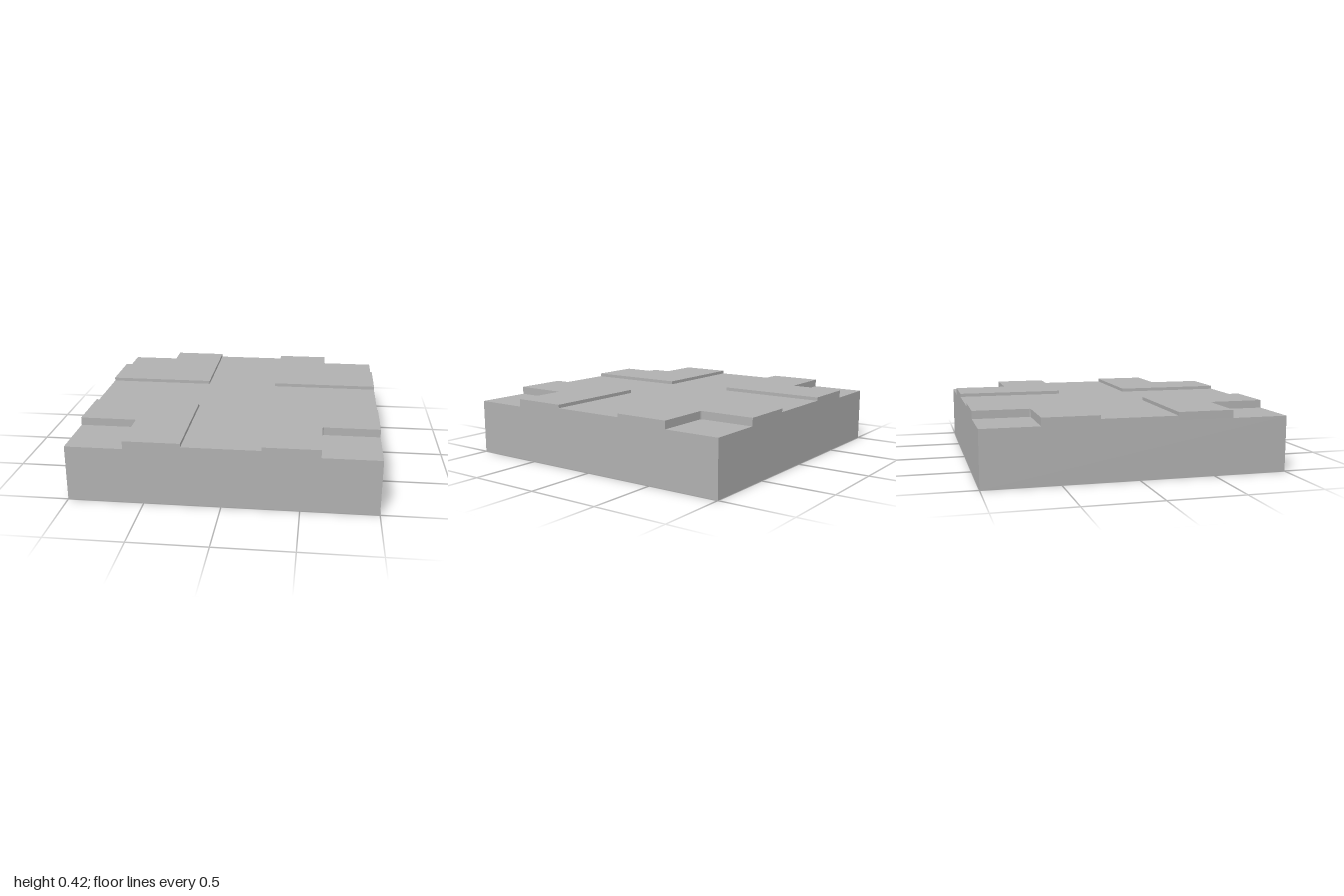
import * as THREE from 'three';

const HALF = 1, ROAD = 0.253, WALK = 0.623, BEVEL = 0.008;
const BASE_Y = 0.37, ROAD_Y = 0.4, WALK_Y = 0.423;

export function createModel() {
  const group = new THREE.Group();
  group.name = 'crossroadTile';
  const stone = new THREE.MeshStandardMaterial({ color: 0xb0b0b0 });
  stone.name = 'grey';

  // Extrudes a flat outline upwards from the base slab
  const addLayer = (name, points, topY) => {
    const shape = new THREE.Shape(points.map(([x, z]) => new THREE.Vector2(x, -z)));
    const geometry = new THREE.ExtrudeGeometry(shape, { depth: topY - BASE_Y, bevelEnabled: false });
    geometry.rotateX(-Math.PI / 2).translate(0, BASE_Y, 0);
    const mesh = new THREE.Mesh(geometry, stone);
    mesh.name = name;
    group.add(mesh);
  };

  // Base slab, whose top is the ground of the four corner plots
  const base = new THREE.Mesh(new THREE.BoxGeometry(2 * HALF, BASE_Y, 2 * HALF), stone);
  base.name = 'baseSlab';
  base.position.y = BASE_Y / 2;
  group.add(base);

  // Crossing roads
  addLayer('roads', [
    [-ROAD, -HALF], [ROAD, -HALF], [ROAD, -ROAD], [HALF, -ROAD],
    [HALF, ROAD], [ROAD, ROAD], [ROAD, HALF], [-ROAD, HALF],
    [-ROAD, ROAD], [-HALF, ROAD], [-HALF, -ROAD], [-ROAD, -ROAD],
  ], ROAD_Y);

  // L-shaped pavements with a small chamfer in the inner corner
  const pavement = [
    [ROAD, ROAD], [HALF, ROAD], [HALF, WALK], [WALK + BEVEL, WALK],
    [WALK, WALK + BEVEL], [WALK, HALF], [ROAD, HALF],
  ];
  for (const sx of [-1, 1]) {
    for (const sz of [-1, 1]) {
      const name = (sz > 0 ? 'front' : 'back') + (sx > 0 ? 'Left' : 'Right') + 'Pavement';
      addLayer(name, pavement.map(([x, z]) => [x * sx, z * sz]), WALK_Y);
    }
  }
  return group;
}
